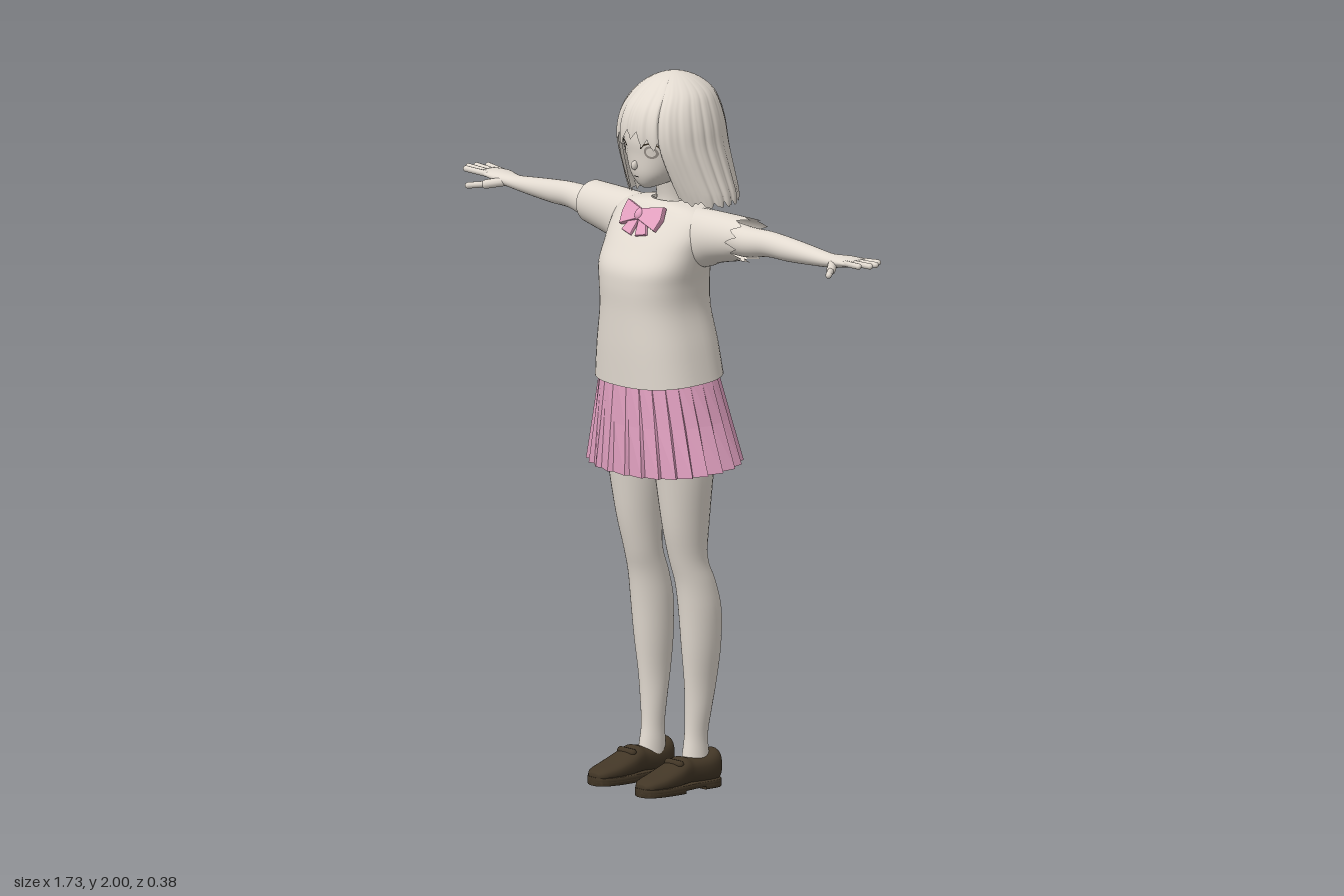
import * as THREE from 'three';
import { toCreasedNormals } from 'three/addons/utils/BufferGeometryUtils.js';

const paint = (name, color) => {
  const m = new THREE.MeshStandardMaterial({ color, side: THREE.DoubleSide });
  m.name = name;
  return m;
};
const V = (x, y, z) => new THREE.Vector3(x, y, z);

// Catmull-Rom refinement of a table of section rows
function smooth(rows, k = 5) {
  const out = [];
  for (let i = 0; i < rows.length - 1; i++) {
    const [p, q, r, s] = [rows[Math.max(i - 1, 0)], rows[i], rows[i + 1], rows[Math.min(i + 2, rows.length - 1)]];
    for (let j = 0; j < k; j++) {
      const t = j / k;
      out.push(q.map((b, c) => 0.5 * (2 * b + (r[c] - p[c]) * t + (2 * p[c] - 5 * b + 4 * r[c] - s[c]) * t * t
        + (3 * b - p[c] - 3 * r[c] + s[c]) * t * t * t)));
    }
  }
  out.push(rows[rows.length - 1]);
  return out;
}
// Linear look-up of a row by its first value
function at(rows, v) {
  let i = 0;
  while (i < rows.length - 2 && rows[i + 1][0] < v) i++;
  const t = THREE.MathUtils.clamp((v - rows[i][0]) / (rows[i + 1][0] - rows[i][0]), 0, 1);
  return rows[i].map((a, c) => a + (rows[i + 1][c] - a) * t);
}
// Skin over n rings of m points, closed around, with optional end caps
function skin(n, m, point, caps = false) {
  const pos = [], idx = [];
  for (let i = 0; i < n; i++) for (let j = 0; j < m; j++) pos.push(...point(i, j).toArray());
  for (let i = 0; i < n - 1; i++) for (let j = 0; j < m; j++) {
    const a = i * m + j, b = i * m + (j + 1) % m;
    idx.push(a, a + m, b + m, a, b + m, b);
  }
  if (caps) for (const i of [0, n - 1]) {
    const mid = V(0, 0, 0);
    for (let j = 0; j < m; j++) mid.add(point(i, j));
    const c = pos.length / 3;
    pos.push(...mid.divideScalar(m).toArray());
    for (let j = 0; j < m; j++) {
      const a = i * m + j, b = i * m + (j + 1) % m;
      idx.push(...(i ? [a, c, b] : [b, c, a]));
    }
  }
  const g = new THREE.BufferGeometry();
  g.setAttribute('position', new THREE.Float32BufferAttribute(pos, 3));
  g.setIndex(idx);
  g.computeVertexNormals();
  return g;
}
const pw = (v, e) => Math.sign(v) * Math.abs(v) ** (2 / e);
const AXES = { x: (t, u, v) => V(t, v, u), y: (t, u, v) => V(u, t, v), z: (t, u, v) => V(v, u, t) };
// Rows are [t, centre u, centre v, radius u, radius v]; (u, v) is (z, y), (x, z) or (y, x)
function loft(axis, rows, { e = 2, m = 28, caps = true, shift = null } = {}) {
  return skin(rows.length, m, (i, j) => {
    const [t, cu, cv, ru, rv] = rows[i], a = j / m * Math.PI * 2;
    return AXES[axis](t + (shift ? shift(i, j) : 0), cu + ru * pw(Math.cos(a), e), cv + rv * pw(Math.sin(a), e));
  }, caps);
}
// Front and back depths turned into centre and radius
const body = ([y, w, front, back]) => [y, 0, (front + back) / 2, w, (front - back) / 2];
const tri = (v) => Math.abs((((v % 1) + 1) % 1) * 2 - 1);

export function createModel() {
  const root = new THREE.Group();
  const cream = paint('cream', 0xe2dad0), pink = paint('skirt pink', 0xe3a2c2), bowPink = paint('bow pink', 0xf0aacb);
  const brown = paint('shoe brown', 0x423626), grey = paint('eye grey', 0x9a928a);
  const add = (parent, name, geo, mat) => {
    const mesh = new THREE.Mesh(geo, mat);
    mesh.name = name;
    parent.add(mesh);
    return mesh;
  };
  const finger = (parent, name, a, b, r) => {
    const f = add(parent, name, new THREE.CapsuleGeometry(r, a.distanceTo(b), 4, 10), cream);
    f.position.copy(a).lerp(b, 0.5);
    f.quaternion.setFromUnitVectors(V(0, 1, 0), b.clone().sub(a).normalize());
  };

  // Sweater
  const torso = smooth([[1.155, 0.188, 0.185, -0.115], [1.25, 0.172, 0.188, -0.105], [1.35, 0.152, 0.188, -0.09],
    [1.42, 0.154, 0.19, -0.085], [1.47, 0.163, 0.183, -0.08], [1.52, 0.172, 0.152, -0.08], [1.57, 0.182, 0.115, -0.078],
    [1.61, 0.175, 0.082, -0.073], [1.635, 0.13, 0.06, -0.066], [1.645, 0.055, 0.04, -0.055]].map(body));
  add(root, 'sweater', loft('y', torso, { e: 2.4, m: 48, caps: false,
    shift: (i, j) => -0.014 * Math.sin(j / 48 * Math.PI * 2) * Math.max(0, 1 - i / 10) }), cream);
  add(root, 'neck', loft('y', smooth([[1.6, 0, -0.012, 0.052, 0.05], [1.65, 0, -0.012, 0.043, 0.043], [1.72, 0, 0, 0.042, 0.045]])), cream);

  // Pleated skirt
  const PLEATS = 26;
  const skirt = skin(3, PLEATS * 2, (i, j) => {
    const s = i / 2, a = (Math.floor(j / 2) + (j % 2 ? 0.86 : 0)) / PLEATS * Math.PI * 2;
    const k = 1 + (j % 2 ? -0.035 : 0.025) * (1.1 - s);
    const hem = 0.912 - 0.018 * Math.sin(a);
    return V(pw(Math.cos(a), 2.2) * k * (0.243 - 0.066 * s), hem + (1.17 - hem) * s,
      0.015 + 0.02 * s + pw(Math.sin(a), 2.2) * k * (0.172 - 0.03 * s));
  }).toNonIndexed();
  skirt.computeVertexNormals();
  add(root, 'pleatedSkirt', skirt, pink);
  add(root, 'hips', loft('y', smooth([[0.955, 0, 0.03, 0.04, 0.05], [0.99, 0, 0.03, 0.12, 0.105], [1.06, 0, 0.032, 0.165, 0.12],
    [1.15, 0, 0.035, 0.15, 0.115]])), cream);

  // Limbs, mirrored
  const arm = smooth([[0.22, -0.005, 1.578, 0.042, 0.045], [0.33, -0.006, 1.573, 0.043, 0.043], [0.42, -0.008, 1.581, 0.036, 0.036],
    [0.5, -0.012, 1.578, 0.034, 0.033], [0.58, -0.015, 1.576, 0.031, 0.027], [0.66, -0.016, 1.575, 0.027, 0.02],
    [0.7, -0.018, 1.578, 0.033, 0.018], [0.74, -0.02, 1.583, 0.04, 0.015], [0.785, -0.018, 1.586, 0.037, 0.01]]);
  const leg = smooth([[0.05, 0.094, -0.015, 0.034, 0.045], [0.1, 0.092, -0.018, 0.031, 0.04], [0.15, 0.092, -0.02, 0.029, 0.035],
    [0.22, 0.095, -0.025, 0.034, 0.04], [0.3, 0.098, -0.03, 0.038, 0.05], [0.4, 0.101, -0.03, 0.048, 0.06], [0.5, 0.102, -0.025, 0.053, 0.064],
    [0.58, 0.1, -0.01, 0.051, 0.06], [0.65, 0.096, 0.012, 0.05, 0.057], [0.75, 0.098, 0.023, 0.06, 0.07], [0.9, 0.1, 0.03, 0.079, 0.085],
    [1, 0.098, 0.03, 0.083, 0.1], [1.08, 0.085, 0.03, 0.08, 0.105]], 4);
  const sleeve = smooth([[0.1, -0.002, 1.55, 0.068, 0.085], [0.17, -0.002, 1.558, 0.068, 0.08], [0.22, -0.002, 1.568, 0.066, 0.071],
    [0.325, -0.003, 1.58, 0.063, 0.06]]);
  // Shoe sections: z, top, bottom, half width
  const shoe = smooth([[-0.08, 0.085, 0.025, 0.026], [-0.072, 0.106, 0.015, 0.037], [-0.03, 0.092, 0.015, 0.042], [0.02, 0.09, 0.02, 0.043],
    [0.045, 0.094, 0.018, 0.046], [0.08, 0.078, 0.014, 0.05], [0.13, 0.058, 0.012, 0.048], [0.17, 0.046, 0.012, 0.038], [0.188, 0.034, 0.016, 0.02]]
    .map(([z, top, low, w]) => [z, (top + low) / 2, 0, (top - low) / 2, w]), 4);
  const soleRows = smooth([[-0.082, 0.025], [-0.06, 0.042], [0, 0.043], [0.08, 0.052], [0.14, 0.048], [0.178, 0.034], [0.19, 0.014]]);
  const slab = (rows, low, high) => toCreasedNormals(loft('z', rows.map(([z, w]) => [z, (low + high) / 2, 0, (high - low) / 2, w]), { e: 12, m: 32 }), 0.7);

  for (const [side, s] of [['left', 1], ['right', -1]]) {
    const half = new THREE.Group();
    half.name = side + 'Limbs';
    half.scale.x = s;
    root.add(half);
    // One cuff is torn, the other is straight
    add(half, side + 'Sleeve', loft('x', sleeve, { m: 44, caps: false,
      shift: (i, j) => s > 0 && i === sleeve.length - 1 ? 0.03 - 0.055 * tri(j / 4) * (0.5 + 0.5 * tri(j / 11)) : 0 }), cream);
    add(half, side + 'Arm', loft('x', arm), cream);
    const tips = [0.836, 0.855, 0.85, 0.83];
    tips.forEach((x, i) => finger(half, side + 'Finger' + (i + 1), V(0.765, 1.586, 0.01 - i * 0.019),
      V(x, 1.591, 0.024 - i * 0.025), 0.0085));
    finger(half, side + 'Thumb', V(0.7, 1.574, 0.002), V(0.735, 1.566, 0.038), 0.013);
    finger(half, side + 'ThumbTip', V(0.735, 1.566, 0.038), V(0.768, 1.562, 0.074), 0.009);
    add(half, side + 'Leg', loft('y', leg), cream);
    // Loafer
    const foot = new THREE.Group();
    foot.name = side + 'Shoe';
    foot.position.x = 0.101;
    half.add(foot);
    add(foot, 'shoeUpper', loft('z', shoe, { e: 2.5 }), brown);
    add(foot, 'sole', slab(soleRows, 0.008, 0.024), brown);
    add(foot, 'heel', slab(soleRows.filter(([z]) => z < -0.005), 0, 0.022), brown);
    add(foot, 'soleTread', slab(soleRows.filter(([z]) => z > 0.06), 0, 0.016), brown);
    const strap = add(foot, 'strap', new THREE.CapsuleGeometry(0.011, 0.05, 4, 10), brown);
    strap.rotation.z = Math.PI / 2;
    strap.position.set(0, 0.079, 0.066);
  }

  // Head
  const E = 2.2;
  const face = smooth([[1.685, 0.012, 0.09, 0.06], [1.7, 0.042, 0.105, 0], [1.73, 0.073, 0.117, -0.05], [1.78, 0.098, 0.122, -0.09],
    [1.83, 0.108, 0.126, -0.11], [1.9, 0.1, 0.11, -0.12], [1.95, 0.07, 0.06, -0.09]].map(body));
  add(root, 'head', loft('y', face, { e: E, m: 48 }), cream);
  const onFace = (geo, x, y, lift) => {
    geo.translate(x, y, 0);
    const p = geo.attributes.position;
    for (let i = 0; i < p.count; i++) {
      const [, , cz, rx, rz] = at(face, p.getY(i));
      p.setZ(i, cz + rz * Math.max(0, 1 - Math.abs(p.getX(i) / rx) ** E) ** (1 / E) + lift);
    }
    geo.computeVertexNormals();
    return geo;
  };
  for (const s of [1, -1]) {
    const x = s * 0.056, y = 1.795;
    add(root, 'eye', onFace(new THREE.RingGeometry(0.001, 0.022, 24, 4).scale(1.15, 1, 1), x, y, 0.002), cream);
    add(root, 'iris', onFace(new THREE.RingGeometry(0.012, 0.018, 24, 2), x, y, 0.004), grey);
    add(root, 'lash', onFace(new THREE.RingGeometry(0.022, 0.026, 20, 2, 0.35, Math.PI - 0.7).scale(1.2, 1, 1), x, y, 0.005), brown);
  }
  const nose = add(root, 'nose', new THREE.SphereGeometry(0.011, 12, 8), cream);
  nose.scale.set(0.7, 1.2, 1);
  nose.position.set(0, 1.752, 0.124);
  add(root, 'mouth', onFace(new THREE.PlaneGeometry(0.022, 0.003, 6, 1), 0, 1.72, 0.003), grey);

  // Bobbed hair with ridged locks, a short fringe and an uneven hem
  const hair = smooth([[1.625, 0.176, 0.065, -0.178], [1.66, 0.18, 0.08, -0.186], [1.72, 0.168, 0.11, -0.182], [1.8, 0.153, 0.142, -0.172],
    [1.86, 0.145, 0.145, -0.164], [1.91, 0.13, 0.128, -0.15], [1.95, 0.107, 0.092, -0.128], [1.98, 0.068, 0.052, -0.09],
    [1.995, 0.03, 0.01, -0.05], [2, 0.002, -0.018, -0.022]].map(body));
  const COLS = 264, ROWS = 30;
  add(root, 'hair', skin(ROWS, COLS, (i, j) => {
    const a = j / COLS * Math.PI * 2, fromFront = Math.abs(a - Math.PI / 2), s = i / (ROWS - 1);
    const lock = tri(j / 12 + 0.15 * Math.sin(a * 5)), strand = tri(j / 5.5);
    let end = 1.632 + 0.014 * lock + 0.008 * strand;
    if (fromFront < 0.62) end = 1.81 + 0.035 * lock + 0.02 * tri(a * 1.3) - 0.03 * fromFront;
    else if (fromFront < 1.2) end += 0.025 * (1.2 - fromFront);
    const y = end + (2 - end) * (1 - (1 - s) ** 1.6);
    const [, , cz, rx, rz] = at(hair, y);
    const k = 1 - (0.035 * lock + 0.014 * strand) * (1 - s) ** 0.8;
    return V(Math.cos(a) * rx * k, y, cz + Math.sin(a) * rz * k);
  }), cream);

  // Ribbon bow
  const bow = new THREE.Group();
  bow.name = 'bow';
  bow.position.set(0, 1.608, 0.098);
  bow.rotation.x = -0.5;
  root.add(bow);
  const plate = (pts, depth) => new THREE.ExtrudeGeometry(new THREE.Shape(pts.map(([x, y]) => new THREE.Vector2(x, y))),
    { depth, bevelEnabled: true, bevelSize: 0.003, bevelThickness: 0.003, bevelSegments: 2 });
  for (const s of [1, -1]) {
    const wing = add(bow, 'bowLoop', plate([[0, -0.012], [0.07, -0.033], [0.078, 0], [0.072, 0.033], [0, 0.014]].map(([x, y]) => [x * s, y]), 0.012), bowPink);
    wing.rotation.y = s * 0.15;
    add(bow, 'bowTail', plate([[0, 0], [0.022, 0], [0.048, -0.05], [0.012, -0.058]].map(([x, y]) => [x * s, y]), 0.004), bowPink);
  }
  add(bow, 'bowKnot', new THREE.SphereGeometry(0.016, 14, 10).scale(0.9, 1.1, 0.8), bowPink).position.z = 0.009;
  return root;
}
